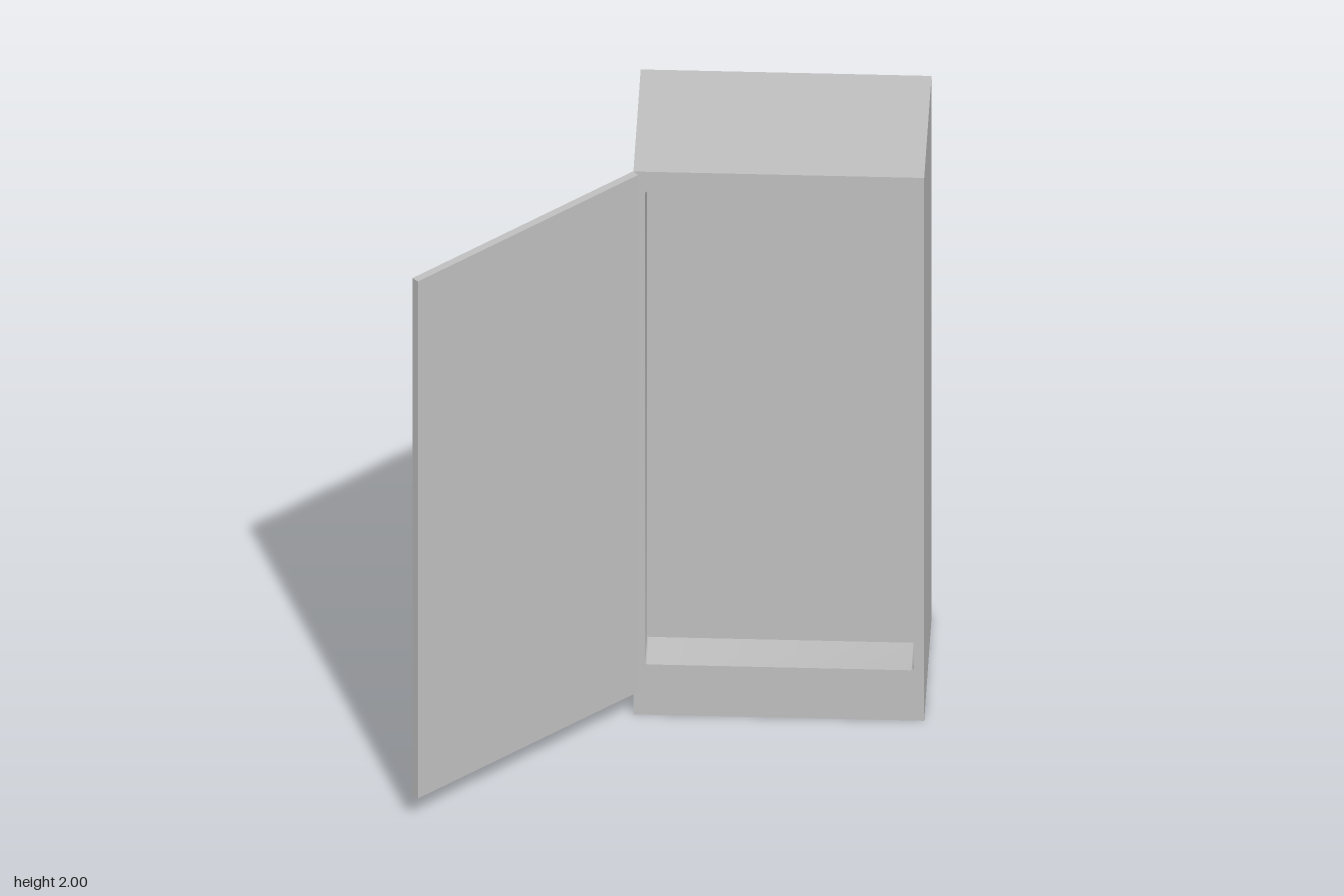
import * as THREE from 'three';
import { toCreasedNormals } from 'three/addons/utils/BufferGeometryUtils.js';

const X0 = -0.12, X1 = 0.768, H = 2, ZB = -0.593, ZF = -0.037;   // cabinet shell
const OX0 = -0.085, OX1 = 0.735, OY0 = 0.185, OY1 = 1.928;       // front opening
const RECESS = 0.15;

// Traces a rectangle with slightly rounded corners.
function roundedRect(path, x0, y0, x1, y1, r) {
  path.moveTo(x0 + r, y0);
  path.lineTo(x1 - r, y0);
  path.absarc(x1 - r, y0 + r, r, -Math.PI / 2, 0);
  path.lineTo(x1, y1 - r);
  path.absarc(x1 - r, y1 - r, r, 0, Math.PI / 2);
  path.lineTo(x0 + r, y1);
  path.absarc(x0 + r, y1 - r, r, Math.PI / 2, Math.PI);
  path.lineTo(x0, y0 + r);
  path.absarc(x0 + r, y0 + r, r, Math.PI, Math.PI * 1.5);
  return path;
}

// Joins an outline at two depths into an inward-facing band of walls.
function wallBand(points, zNear, zFar) {
  const pos = [];
  points.forEach((a, i) => {
    const b = points[(i + 1) % points.length];
    if (a.distanceTo(b) < 1e-6) return;
    pos.push(a.x, a.y, zNear, b.x, b.y, zNear, b.x, b.y, zFar);
    pos.push(a.x, a.y, zNear, b.x, b.y, zFar, a.x, a.y, zFar);
  });
  const g = new THREE.BufferGeometry();
  g.setAttribute('position', new THREE.Float32BufferAttribute(pos, 3));
  g.computeVertexNormals();
  return toCreasedNormals(g, Math.PI / 5);
}

export function createModel() {
  const model = new THREE.Group();
  model.name = 'cabinet';
  const grey = new THREE.MeshStandardMaterial({ color: 0xc0c0c0, side: THREE.DoubleSide });
  grey.name = 'grey';
  const add = (name, geometry) => {
    const mesh = new THREE.Mesh(geometry, grey);
    mesh.name = name;
    model.add(mesh);
    return mesh;
  };

  const width = X1 - X0, depth = ZF - ZB, midX = (X0 + X1) / 2, midZ = (ZB + ZF) / 2;

  // Thin outer shell, open at the back and underneath
  add('topPanel', new THREE.PlaneGeometry(width, depth).rotateX(-Math.PI / 2)).position.set(midX, H, midZ);
  for (const [name, x, side] of [['leftSide', X1, 1], ['rightSide', X0, -1]]) {
    add(name, new THREE.PlaneGeometry(depth, H).rotateY(side * Math.PI / 2)).position.set(x, H / 2, midZ);
  }

  // Front frame with its opening
  const front = new THREE.Shape();
  front.moveTo(X0, 0);
  front.lineTo(X1, 0);
  front.lineTo(X1, H);
  front.lineTo(X0, H);
  front.closePath();
  front.holes.push(roundedRect(new THREE.Path(), OX0, OY0, OX1, OY1, 0.01));
  add('frontFrame', new THREE.ShapeGeometry(front, 4)).position.z = ZF;

  // Shallow recess behind the opening
  const opening = roundedRect(new THREE.Shape(), OX0, OY0, OX1, OY1, 0.01);
  add('recessWalls', wallBand(opening.getPoints(4), ZF, ZF - RECESS));
  add('recessBack', new THREE.ShapeGeometry(opening, 4)).position.z = ZF - RECESS;

  // Door slab swung open about the right front edge
  const doorLength = 0.888, doorBottom = 0.095, thickness = 0.025;
  const slab = new THREE.BoxGeometry(doorLength, H - doorBottom, thickness);
  slab.translate(-doorLength / 2, (H + doorBottom) / 2, thickness / 2);
  const door = add('door', slab);
  door.position.set(X0 - 0.002, 0, ZF);
  door.rotation.y = THREE.MathUtils.degToRad(43.1);

  return model;
}
